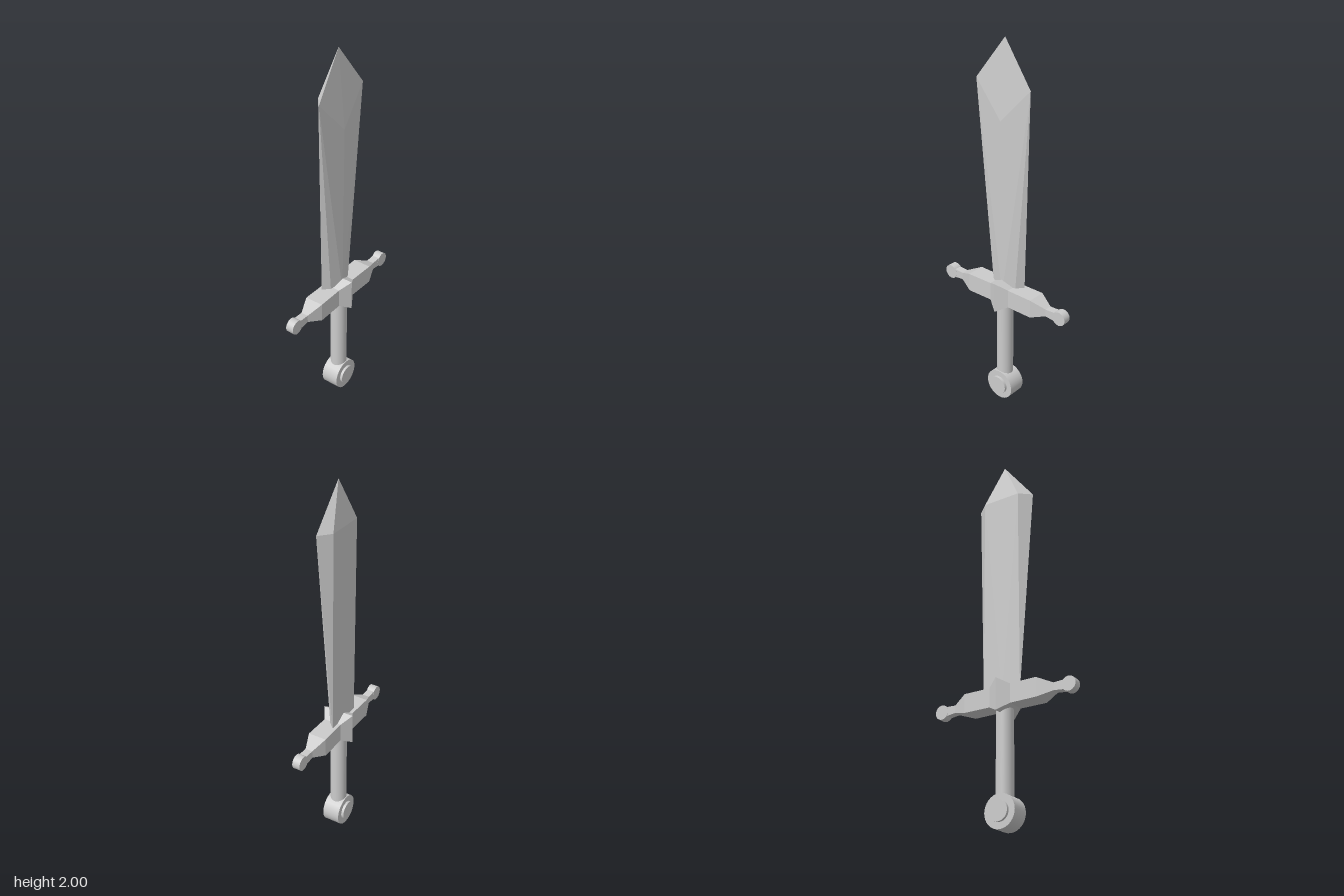
import * as THREE from 'three';

const smooth = new THREE.MeshStandardMaterial({ color: 0xcccccc });
const faceted = new THREE.MeshStandardMaterial({ color: 0xcccccc, flatShading: true });

function add(parent, name, geometry, material) {
  const mesh = new THREE.Mesh(geometry, material);
  mesh.name = name;
  parent.add(mesh);
  return mesh;
}

// Disc whose axis runs along x
function disc(radius, width) {
  return new THREE.CylinderGeometry(radius, radius, width, 32).rotateZ(Math.PI / 2);
}

// One half of the blade by corner name; the other half is mirrored in z
function bladeGeometry() {
  const corners = {
    ridgeLow: [0.025, 0.66, 0], ridgeTop: [0.035, 1.6, 0],
    edgeLow: [0.005, 0.66, 0.07], edgeTop: [0.016, 1.78, 0.167],
    backLow: [-0.03, 0.66, 0.105], backTop: [-0.037, 1.78, 0.105],
    midLow: [-0.03, 0.66, 0], midTop: [-0.037, 1.78, 0],
    tip: [0, 2, 0],
  };
  const faces = [
    // ridged face
    'ridgeLow ridgeTop edgeTop', 'ridgeLow edgeTop edgeLow', 'ridgeTop tip edgeTop',
    // side bevel
    'edgeLow edgeTop backLow', 'backLow edgeTop backTop', 'edgeTop tip backTop',
    // flat face
    'midLow backLow backTop', 'midLow backTop midTop', 'midTop backTop tip',
    // base
    'ridgeLow edgeLow backLow', 'ridgeLow backLow midLow',
  ];
  const positions = [];
  for (const side of [1, -1]) {
    for (const face of faces) {
      const names = face.split(' ');
      if (side < 0) names.reverse();
      for (const n of names) {
        const [x, y, z] = corners[n];
        positions.push(x, y, z * side);
      }
    }
  }
  const g = new THREE.BufferGeometry();
  g.setAttribute('position', new THREE.Float32BufferAttribute(positions, 3));
  g.computeVertexNormals();
  return g;
}

// Segmented bar reshaped to rectangular sections along z
function guardGeometry() {
  // [z, half width, bottom, top] from the middle outwards
  const sections = [
    [0, 0.085, 0.565, 0.733],
    [0.06, 0.048, 0.6, 0.7],
    [0.207, 0.05, 0.6, 0.7],
    [0.285, 0.02, 0.625, 0.665],
    [0.35, 0.02, 0.618, 0.668],
  ];
  const g = new THREE.BoxGeometry(2, 2, 8, 1, 1, 8);
  const p = g.attributes.position;
  for (let i = 0; i < p.count; i++) {
    const step = Math.round(p.getZ(i));
    const [z, halfWidth, bottom, top] = sections[Math.abs(step)];
    p.setXYZ(i, Math.sign(p.getX(i)) * halfWidth, p.getY(i) > 0 ? top : bottom, Math.sign(step) * z);
  }
  g.computeVertexNormals();
  return g;
}

export function createModel() {
  const sword = new THREE.Group();
  sword.name = 'sword';

  add(sword, 'blade', bladeGeometry(), faceted);

  // Crossguard with a round knob on each end
  add(sword, 'crossguard', guardGeometry(), faceted);
  for (const side of [1, -1]) {
    add(sword, 'guardKnob', disc(0.038, 0.043), smooth).position.set(0, 0.643, side * 0.367);
  }

  // Grip
  const grip = new THREE.CylinderGeometry(0.044, 0.044, 0.46, 32);
  add(sword, 'grip', grip, smooth).position.y = 0.37;

  // Pommel wheel with a smaller raised disc through it
  add(sword, 'pommel', disc(0.084, 0.096), smooth).position.y = 0.084;
  add(sword, 'pommelBoss', disc(0.051, 0.124), smooth).position.y = 0.084;

  return sword;
}
